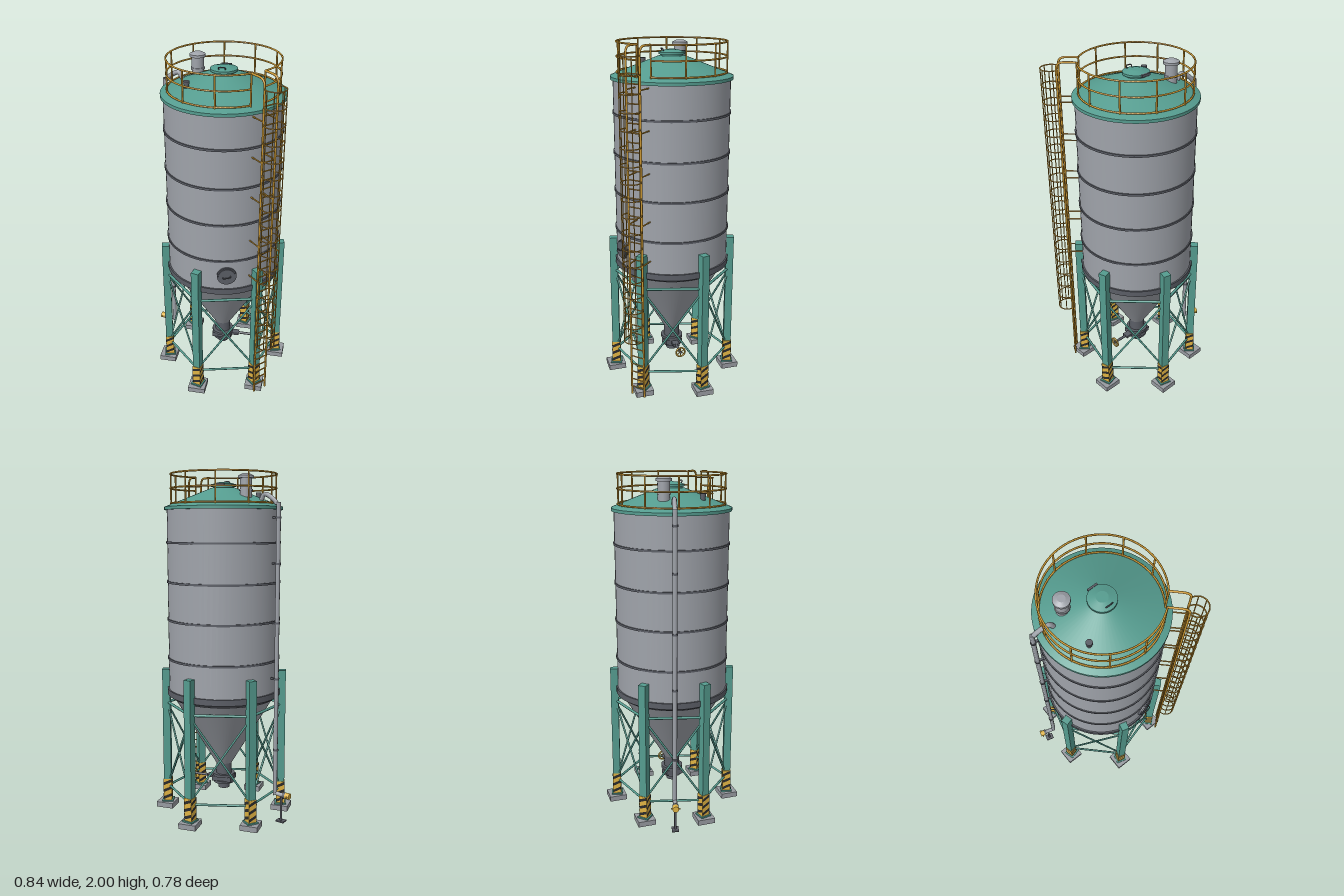
import * as THREE from 'three';

const material = (name, color) => {
  const m = new THREE.MeshStandardMaterial({ color, side: THREE.DoubleSide });
  m.name = name;
  return m;
};
const V = (x, y, z) => new THREE.Vector3(x, y, z);
const rad = THREE.MathUtils.degToRad;

export function createModel() {
  const green = material('teal paint', 0x559c8f);
  const grey = material('shell grey', 0x9fa3aa);
  const dark = material('dark steel', 0x5b5e66);
  const amber = material('railing amber', 0xcb9833);
  const yellow = material('safety yellow', 0xe0b343);
  const black = material('stripe black', 0x2a2a2a);
  const concrete = material('concrete', 0x989ba1);

  const model = new THREE.Group();
  model.name = 'storageSilo';
  const silo = new THREE.Group();
  silo.name = 'silo';
  silo.position.x = 0.033;
  model.add(silo);

  const add = (parent, name, geo, mat, x = 0, y = 0, z = 0) => {
    const m = new THREE.Mesh(geo, mat);
    m.name = name;
    m.position.set(x, y, z);
    parent.add(m);
    return m;
  };
  const box = (p, name, mat, w, h, d, x, y, z) => add(p, name, new THREE.BoxGeometry(w, h, d), mat, x, y, z);
  // Upright cylinder or cone between two heights
  const drum = (p, name, mat, rTop, rBottom, y0, y1, x = 0, z = 0, seg = 32, open = false) =>
    add(p, name, new THREE.CylinderGeometry(rTop, rBottom, y1 - y0, seg, 1, open), mat, x, (y0 + y1) / 2, z);
  // Round bar between two points
  const bar = (p, name, mat, a, b, r, seg = 8) => {
    const dir = b.clone().sub(a);
    const m = add(p, name, new THREE.CylinderGeometry(r, r, dir.length(), seg), mat);
    m.position.copy(a).add(b).multiplyScalar(0.5);
    m.quaternion.setFromUnitVectors(V(0, 1, 0), dir.normalize());
    return m;
  };
  // Group whose +x points outwards at an angle measured from +x towards +z
  const radial = (name, deg) => {
    const g = new THREE.Group();
    g.name = name;
    g.rotation.y = -rad(deg);
    silo.add(g);
    return g;
  };
  const polar = (r, deg, y) => V(r * Math.cos(rad(deg)), y, r * Math.sin(rad(deg)));
  const tube = (p, name, mat, pts, r, steps = 40, tension = 0.5) =>
    add(p, name, new THREE.TubeGeometry(new THREE.CatmullRomCurve3(pts, false, 'catmullrom', tension), steps, r, 8), mat);
  // Horizontal arc of round bar around a vertical axis
  const hoop = (p, name, mat, cx, y, r, from, to, thick, steps) => {
    const pts = [];
    for (let i = 0; i <= steps; i++) pts.push(polar(r, from + (to - from) * i / steps, y).add(V(cx, 0, 0)));
    return add(p, name, new THREE.TubeGeometry(new THREE.CatmullRomCurve3(pts), steps, thick, 6), mat);
  };

  // Shell, bands and hopper
  drum(silo, 'shell', grey, 0.325, 0.325, 0.735, 1.8, 0, 0, 64);
  for (const y of [0.944, 1.172, 1.39, 1.613]) drum(silo, 'shellBand', dark, 0.331, 0.331, y - 0.006, y + 0.006, 0, 0, 64);
  drum(silo, 'skirtRing', dark, 0.334, 0.334, 0.725, 0.76, 0, 0, 64);
  drum(silo, 'skirtRingLower', dark, 0.334, 0.305, 0.705, 0.725, 0, 0, 64);
  drum(silo, 'hopper', grey, 0.303, 0.05, 0.29, 0.715, 0, 0, 64);

  // Outlet, valve and handwheel
  drum(silo, 'outletNeck', dark, 0.047, 0.047, 0.21, 0.295);
  drum(silo, 'outletFlange', dark, 0.066, 0.066, 0.205, 0.222);
  box(silo, 'valveBody', dark, 0.12, 0.03, 0.1, 0, 0.192, 0);
  drum(silo, 'valveFlange', dark, 0.062, 0.062, 0.165, 0.18);
  drum(silo, 'outletSpout', dark, 0.034, 0.034, 0.13, 0.17);
  box(silo, 'valveYoke', dark, 0.05, 0.016, 0.04, 0.08, 0.192, 0);
  bar(silo, 'valveStem', dark, V(0.05, 0.192, 0), V(0.195, 0.192, 0), 0.008);
  const wheel = add(silo, 'handwheel', new THREE.TorusGeometry(0.028, 0.005, 8, 24), yellow, 0.19, 0.192, 0);
  wheel.rotation.y = Math.PI / 2;
  for (const a of [0, 60, 120]) {
    const s = V(0, 0.028 * Math.cos(rad(a)), 0.028 * Math.sin(rad(a)));
    bar(silo, 'handwheelSpoke', yellow, V(0.19, 0.192, 0).add(s), V(0.19, 0.192, 0).sub(s), 0.003);
  }

  // Roof, top hatch, filter and relief valve
  drum(silo, 'roofRim', green, 0.339, 0.339, 1.795, 1.812, 0, 0, 64);
  drum(silo, 'roof', green, 0.07, 0.339, 1.812, 1.918, 0, 0, 64);
  drum(silo, 'hatchNeck', green, 0.06, 0.06, 1.9, 1.928);
  drum(silo, 'hatchLid', green, 0.073, 0.073, 1.926, 1.938);
  drum(silo, 'hatchCrown', green, 0.03, 0.07, 1.938, 1.95);
  box(silo, 'hatchHinge', dark, 0.055, 0.014, 0.01, 0, 1.935, -0.072);
  tube(silo, 'hatchHandle', dark, [V(-0.016, 1.938, 0.048), V(-0.016, 1.955, 0.056), V(0.016, 1.955, 0.056), V(0.016, 1.938, 0.048)], 0.003, 16);
  drum(silo, 'filterBody', grey, 0.033, 0.033, 1.84, 1.965, -0.162, -0.095);
  drum(silo, 'filterFlange', grey, 0.038, 0.038, 1.895, 1.905, -0.162, -0.095);
  drum(silo, 'filterCap', grey, 0.043, 0.043, 1.963, 1.977, -0.162, -0.095);
  drum(silo, 'filterCapTop', grey, 0.02, 0.043, 1.977, 1.988, -0.162, -0.095);
  drum(silo, 'reliefValve', dark, 0.013, 0.013, 1.84, 1.88, -0.173, 0.122, 16);
  drum(silo, 'reliefValveCap', dark, 0.017, 0.017, 1.88, 1.895, -0.173, 0.122, 16);

  // Round inspection door low on the shell
  const door = radial('inspectionDoor', 75.5);
  bar(door, 'doorFrame', dark, V(0.3, 0.85, 0), V(0.333, 0.85, 0), 0.055, 32);
  bar(door, 'doorPlate', dark, V(0.333, 0.85, 0), V(0.339, 0.85, 0), 0.048, 32);
  tube(door, 'doorHandle', dark, [V(0.338, 0.855, -0.02), V(0.352, 0.853, -0.018), V(0.352, 0.848, 0.018), V(0.338, 0.846, 0.02)], 0.003, 16);

  // Legs with striped feet, pads and cross bracing
  const LEG = 0.346, W = 0.045, SL = 0.05, Y0 = 0.04, SH = 0.135;
  for (let k = 0; k < 6; k++) {
    const a = 45 + 60 * k;
    const p = polar(0.35, a, 0);
    box(silo, 'footPad', concrete, 0.104, 0.032, 0.104, p.x, 0.016, p.z);
    const leg = radial('leg', a);
    box(leg, 'basePlate', green, 0.068, 0.008, 0.068, LEG, 0.036, 0);
    box(leg, 'legPost', green, W, 0.83, W, LEG, 0.45, 0);
    add(leg, 'footSleeve', new THREE.BoxGeometry(SL, SH, SL), yellow, LEG, Y0 + SH / 2, 0);
    for (let f = 0; f < 4; f++) {
      const face = new THREE.Group();
      face.name = 'hazardStripes';
      face.position.set(LEG, Y0, 0);
      face.rotation.y = f * Math.PI / 2;
      leg.add(face);
      for (const y of [0.005, 0.05, 0.095]) {
        const h = SL / 2;
        const stripe = new THREE.Shape([[-h, y], [h, y + 0.022], [h, y + 0.04], [-h, y + 0.018]].map(q => new THREE.Vector2(...q)));
        add(face, 'blackStripe', new THREE.ShapeGeometry(stripe), black, 0, 0, h + 0.001);
      }
    }
    const r = 0.34, b = a + 60;
    bar(silo, 'upperTie', green, polar(r, a, 0.658), polar(r, b, 0.658), 0.008);
    bar(silo, 'lowerTie', green, polar(r, a, 0.13), polar(r, b, 0.13), 0.007);
    bar(silo, 'crossBrace', green, polar(r, a, 0.15), polar(r, b, 0.645), 0.006);
    bar(silo, 'crossBrace', green, polar(r, a, 0.645), polar(r, b, 0.15), 0.006);
  }

  // Roof guardrail with an opening at the ladder
  const RAIL = 0.3025;
  for (const y of [1.832, 1.915, 1.994]) hoop(silo, 'guardRail', amber, 0, y, RAIL, 53, 397, 0.005, 72);
  for (let i = 0; i <= 10; i++) {
    const a = 53 + 34.4 * i;
    bar(silo, 'guardPost', amber, polar(RAIL, a, 1.815), polar(RAIL, a, 1.994), 0.005);
  }

  // Caged ladder
  const ladder = radial('ladder', 45);
  const LR = 0.406, LT = 0.041, CR = 0.441, HR = 0.054;
  for (const s of [-1, 1]) {
    bar(ladder, 'ladderRail', amber, V(LR, 0.008, s * LT), V(LR, 1.95, s * LT), 0.006);
    tube(ladder, 'ladderHandrail', amber, [V(LR, 1.945, s * LT), V(LR - 0.004, 1.975, s * LT), V(LR - 0.03, 1.993, s * LT), V(RAIL - 0.003, 1.994, s * LT)], 0.006, 20);
    for (const y of [0.83, 1.06, 1.33, 1.56, 1.78])
      bar(ladder, 'ladderBracket', amber, V(0.315, y, s * LT), V(LR, y, s * LT), 0.004);
  }
  for (let y = 0.06; y < 1.9; y += 0.05) bar(ladder, 'rung', amber, V(LR, y, -LT), V(LR, y, LT), 0.004, 6);
  for (let i = 0; i < 18; i++) hoop(ladder, 'cageHoop', amber, CR, 0.39 + i * 1.56 / 17, HR, -130, 130, 0.0035, 20);
  for (const a of [-90, -45, 0, 45, 90]) {
    const p = polar(HR, a, 0);
    bar(ladder, 'cageBar', amber, V(CR + p.x, 0.39, p.z), V(CR + p.x, 1.95, p.z), 0.003, 6);
  }

  // Filling pipe with capped inlet and prop
  const pipe = radial('fillPipe', 195);
  tube(pipe, 'pipeRun', grey, [V(0.43, 0.165, 0), V(0.385, 0.165, 0), V(0.366, 0.172, 0), V(0.36, 0.195, 0), V(0.36, 0.6, 0), V(0.36, 1.2, 0),
    V(0.36, 1.78, 0), V(0.352, 1.82, 0), V(0.325, 1.85, 0), V(0.285, 1.875, 0), V(0.265, 1.873, 0), V(0.25, 1.845, 0)], 0.013, 140);
  bar(pipe, 'inletCoupling', dark, V(0.415, 0.165, 0), V(0.43, 0.165, 0), 0.018, 16);
  bar(pipe, 'inletCap', yellow, V(0.43, 0.165, 0), V(0.458, 0.165, 0), 0.018, 16);
  bar(pipe, 'capLever', yellow, V(0.446, 0.165, -0.026), V(0.446, 0.165, 0.026), 0.004);
  bar(pipe, 'pipeProp', dark, V(0.402, 0.005, 0), V(0.402, 0.16, 0), 0.007);
  box(pipe, 'propFoot', dark, 0.05, 0.008, 0.04, 0.402, 0.004, 0);
  for (const y of [0.43, 0.85, 1.17, 1.5, 1.75]) {
    drum(pipe, 'pipeClamp', dark, 0.016, 0.016, y - 0.006, y + 0.006, 0.36, 0, 16);
    if (y > 0.74) box(pipe, 'clampArm', dark, 0.04, 0.01, 0.012, 0.335, y, 0);
  }
  return model;
}
